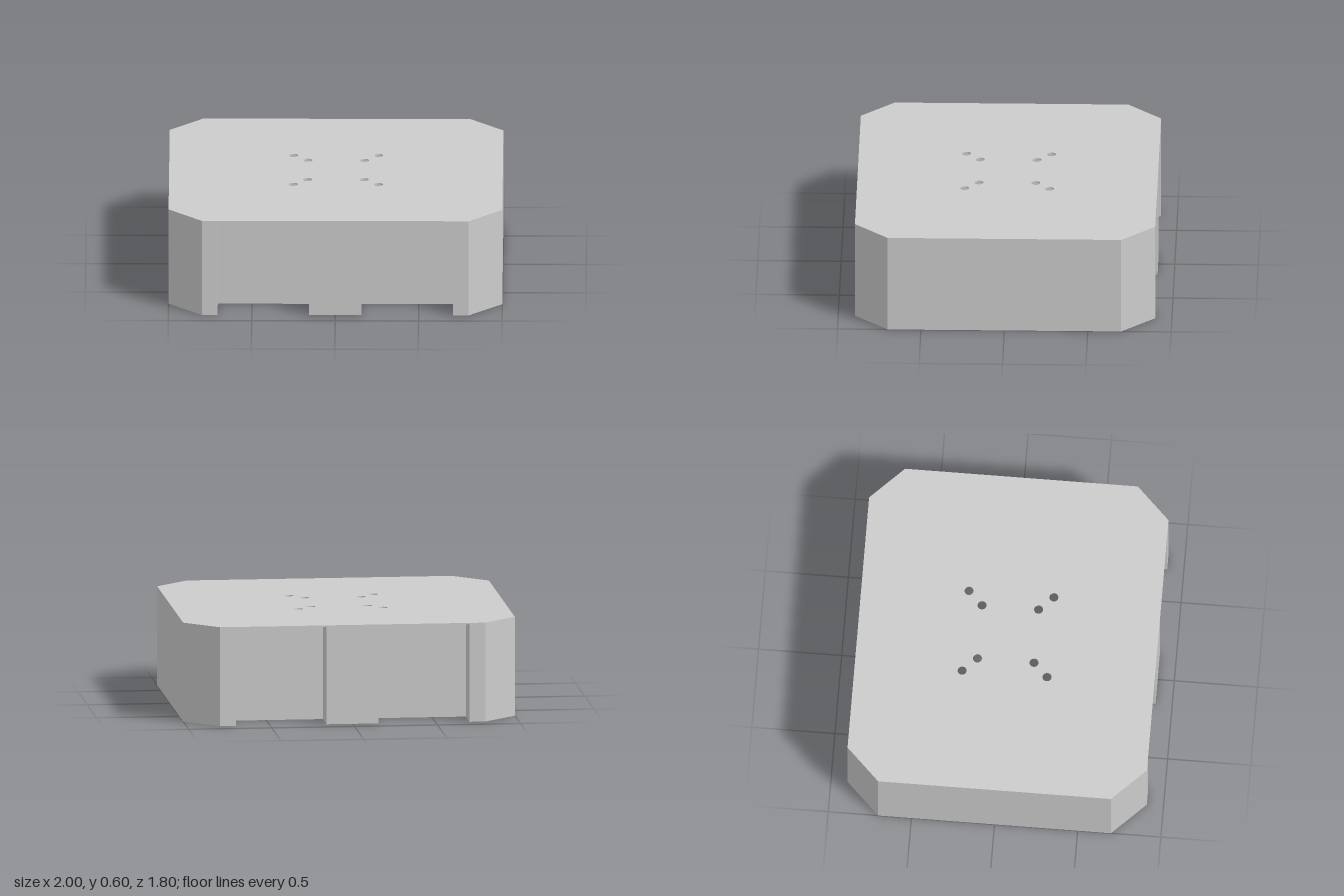
import * as THREE from 'three';

const HEIGHT = 0.6;
const THICK = 0.008;

// Mirrors a quarter outline (counter-clockwise, x > 0 and y > 0) into a full loop.
function mirrorQuarter(quarter) {
  const half = [...quarter, ...quarter.map(([x, y]) => [-x, y]).reverse()];
  const full = [...half, ...half.map(([x, y]) => [x, -y]).reverse()];
  return full.map(([x, y]) => new THREE.Vector2(x, y));
}

// Moves every edge of a counter-clockwise loop inwards by d, with mitred corners.
function inset(loop, d) {
  return loop.map((p, i) => {
    const a = p.clone().sub(loop[(i + loop.length - 1) % loop.length]).normalize();
    const b = loop[(i + 1) % loop.length].clone().sub(p).normalize();
    const n1 = new THREE.Vector2(-a.y, a.x);
    const n2 = new THREE.Vector2(-b.y, b.x);
    const k = d / (1 + n1.dot(n2));
    return p.clone().add(n1.add(n2).multiplyScalar(k));
  });
}

// Extrudes a plan shape upwards from height y.
function extrudeUp(shape, y, height) {
  const geo = new THREE.ExtrudeGeometry(shape, { depth: height, bevelEnabled: false, curveSegments: 24 });
  return geo.rotateX(-Math.PI / 2).translate(0, y, 0);
}

export function createModel() {
  const model = new THREE.Group();
  model.name = 'mountingCover';
  const material = new THREE.MeshStandardMaterial({ color: 0xcccccc });
  const add = (name, geometry) => {
    const mesh = new THREE.Mesh(geometry, material);
    mesh.name = name;
    model.add(mesh);
  };

  // Top plate with chamfered corners and two rings of four screw holes
  const plate = new THREE.Shape(mirrorQuarter([[1, 0.7], [0.8, 0.9]]));
  for (const r of [0.17, 0.255]) {
    for (const sx of [-1, 1]) {
      for (const sy of [-1, 1]) {
        plate.holes.push(new THREE.Path().absarc(sx * r, sy * r, 0.027, 0, Math.PI * 2, true));
      }
    }
  }
  add('topPlate', extrudeUp(plate, HEIGHT - THICK, THICK));

  // Thin skirt, open below, with two recesses in the front and in the back
  const outline = mirrorQuarter([
    [1, 0.7], [0.8, 0.9], [0.705, 0.9], [0.705, 0.7], [0.157, 0.7], [0.157, 0.9],
  ]);
  const skirt = new THREE.Shape(outline);
  skirt.holes.push(new THREE.Path(inset(outline, THICK).reverse()));
  add('skirtWall', extrudeUp(skirt, 0, HEIGHT - THICK));

  return model;
}
